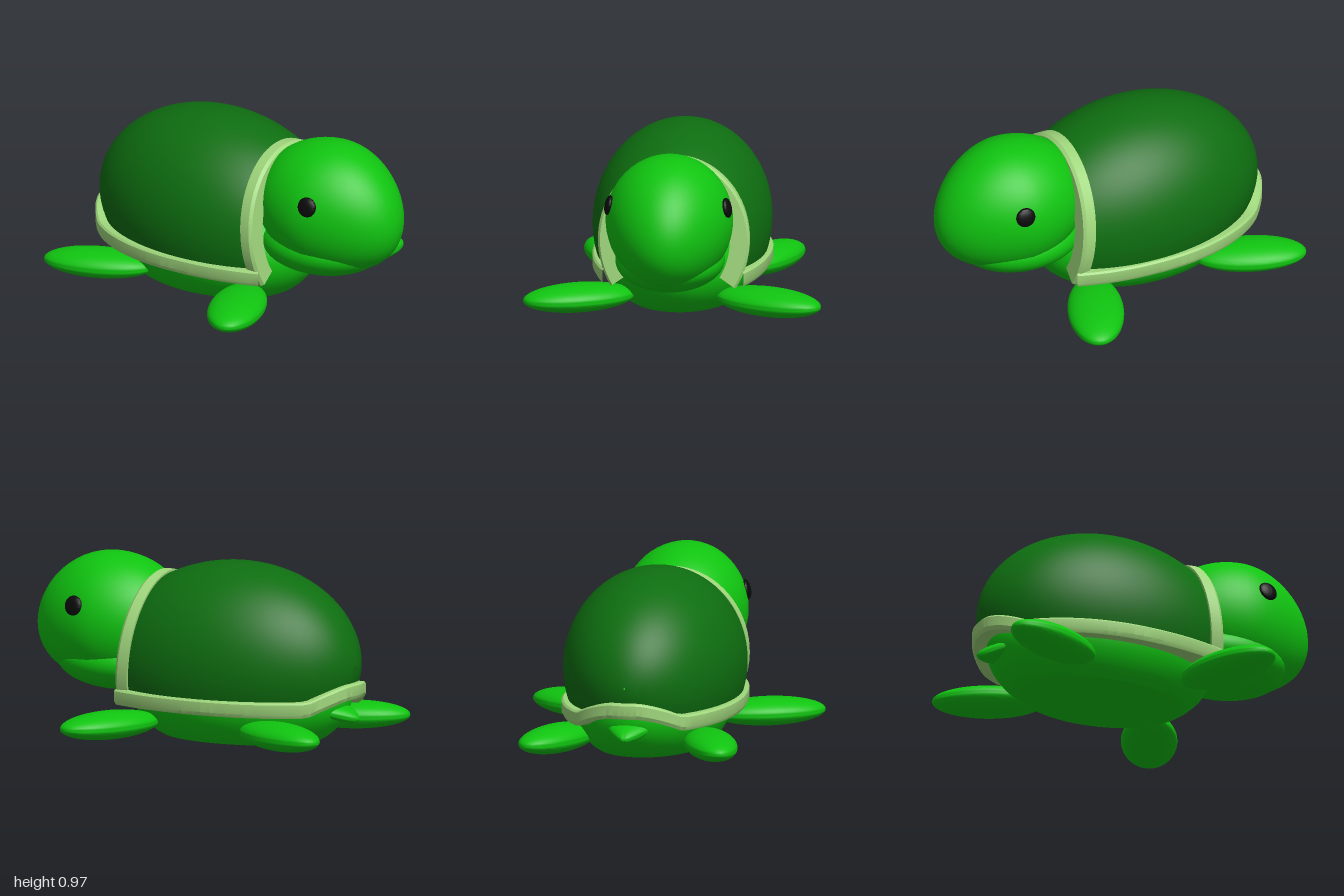
import * as THREE from 'three';
import { toCreasedNormals } from 'three/addons/utils/BufferGeometryUtils.js';

const mat = (color) => new THREE.MeshStandardMaterial({ color });
const skin = mat(0x10c410);
const shellGreen = mat(0x0e6e10);
const rimGreen = mat(0x9fd67c);
const black = mat(0x0a0a0a);

// Skin closed loops of [x, y, z] points into a capped solid
function loft(rings, crease = 0.7) {
  const n = rings[0].length, last = (rings.length - 1) * n, index = [];
  for (let i = 0; i < rings.length - 1; i++) {
    for (let j = 0; j < n; j++) {
      const k = (j + 1) % n;
      const a = i * n + j, b = i * n + k, c = a + n, d = b + n;
      index.push(a, d, b, a, c, d);
    }
  }
  for (let j = 1; j < n - 1; j++) {
    index.push(0, j + 1, j, last, last + j, last + j + 1);
  }
  const g = new THREE.BufferGeometry();
  g.setAttribute('position', new THREE.Float32BufferAttribute(rings.flat(2), 3));
  g.setIndex(index);
  return toCreasedNormals(g, crease);
}

// Ellipsoid with an optional rule that moves points of the unit sphere first
function ellipsoid(rx, ry, rz, rule) {
  const g = new THREE.SphereGeometry(1, 48, 32);
  const p = g.attributes.position, v = new THREE.Vector3();
  for (let i = 0; i < p.count; i++) {
    v.fromBufferAttribute(p, i);
    if (rule) rule(v);
    p.setXYZ(i, v.x * rx, v.y * ry, v.z * rz);
  }
  return toCreasedNormals(g, 0.6);
}

export function createModel() {
  const model = new THREE.Group();
  const add = (name, geometry, material, x = 0, y = 0, z = 0) => {
    const mesh = new THREE.Mesh(geometry, material);
    mesh.name = name;
    mesh.position.set(x, y, z);
    model.add(mesh);
    return mesh;
  };

  // Domed shell, cut flat below and slanted at the front
  const shell = [];
  for (let i = 0; i <= 36; i++) {
    const u = i / 36;
    const t = THREE.MathUtils.lerp(Math.acos(0.6), Math.PI - 0.01, u);
    const s = Math.sin(t), z = -0.22 + 0.73 * Math.cos(t);
    const floor = 0.26 + 0.08 * THREE.MathUtils.smoothstep(-z, 0.8, 0.95);
    const p0 = Math.asin(Math.max(-1, (floor - 0.43) / (0.54 * s)));
    const ring = [];
    for (let j = 0; j <= 48; j++) {
      const p = p0 + (Math.PI - 2 * p0) * j / 48;
      const y = 0.43 + 0.54 * s * Math.sin(p);
      ring.push([0.49 * s * Math.cos(p), y, z + 0.1 * (0.87 - y) * (1 - u)]);
    }
    shell.push(ring);
  }
  add('shell', loft(shell), shellGreen);

  // Rim along the lower edge, rising at the tail
  const lowerRim = [];
  const a0 = Math.acos(0.55 / 0.9);
  for (let i = 0; i <= 64; i++) {
    const a = a0 + (2 * Math.PI - 2 * a0) * i / 64;
    const c = Math.cos(a), s = Math.sin(a), rz = c > 0 ? 0.9 : 0.73;
    const at = (out, dy) => {
      const z = -0.22 + (rz + out) * c;
      const lift = 0.08 * THREE.MathUtils.clamp((-0.22 + rz * c + 0.8) / -0.14, 0, 1);
      return [(0.47 + out) * s, 0.223 + lift + dy, z];
    };
    lowerRim.push([at(0.01, -0.042), at(0.022, -0.02), at(0.022, 0.034),
      at(0.012, 0.044), at(-0.1, 0.044), at(-0.1, -0.042)]);
  }
  add('lowerRim', loft(lowerRim, 0.5), rimGreen);

  // Arched rim around the neck opening
  const neckRim = [];
  for (let i = 0; i <= 48; i++) {
    const p = -0.6 + (Math.PI + 1.2) * i / 48;
    const at = (out, dz) => {
      const y = 0.43 + (0.44 + out) * Math.sin(p);
      return [(0.4 + out) * Math.cos(p), y, 0.235 + 0.11 * (0.87 - y) + dz];
    };
    neckRim.push([at(0.015, -0.038), at(0.018, 0.02), at(0.005, 0.036),
      at(-0.09, 0.036), at(-0.09, -0.038)]);
  }
  add('neckRim', loft(neckRim, 0.5), rimGreen);

  // Belly with a flat underside
  add('body', ellipsoid(0.43, 0.36, 0.65, (v) => {
    v.y = Math.max(v.y, -0.694);
  }), skin, 0, 0.25, -0.24);

  // Head, narrowing and dipping toward the snout, over a lower jaw
  add('head', ellipsoid(0.35, 0.365, 0.44, (v) => {
    const f = Math.max(v.z, 0);
    v.x *= 1 - 0.16 * f;
    v.y -= 0.14 * f * f;
  }), skin, 0, 0.6, 0.56);
  add('jaw', ellipsoid(0.3, 0.165, 0.37), skin, 0, 0.37, 0.5);

  // Tail
  const tail = add('tail', ellipsoid(0.13, 0.045, 0.16, (v) => {
    v.x *= 1 + 0.5 * Math.min(v.z, 0);
  }), skin, 0, 0.19, -0.82);
  tail.rotation.x = -0.3;

  // Eyes and flippers, mirrored
  const eye = ellipsoid(0.022, 0.055, 0.055);
  const frontFlipper = ellipsoid(0.32, 0.077, 0.155);
  const rearFlipper = ellipsoid(0.31, 0.077, 0.14);
  for (const [side, s] of [['left', 1], ['right', -1]]) {
    add(side + 'Eye', eye, black, s * 0.326, 0.7, 0.63).rotation.set(0, -s * 0.15, s * 0.22);
    add(side + 'FrontFlipper', frontFlipper, skin, s * 0.523, 0.093, 0.3).rotation.y = -s * 0.43;
    add(side + 'RearFlipper', rearFlipper, skin, s * 0.43, 0.093, -0.71).rotation.y = s * 1.16;
  }
  return model;
}
